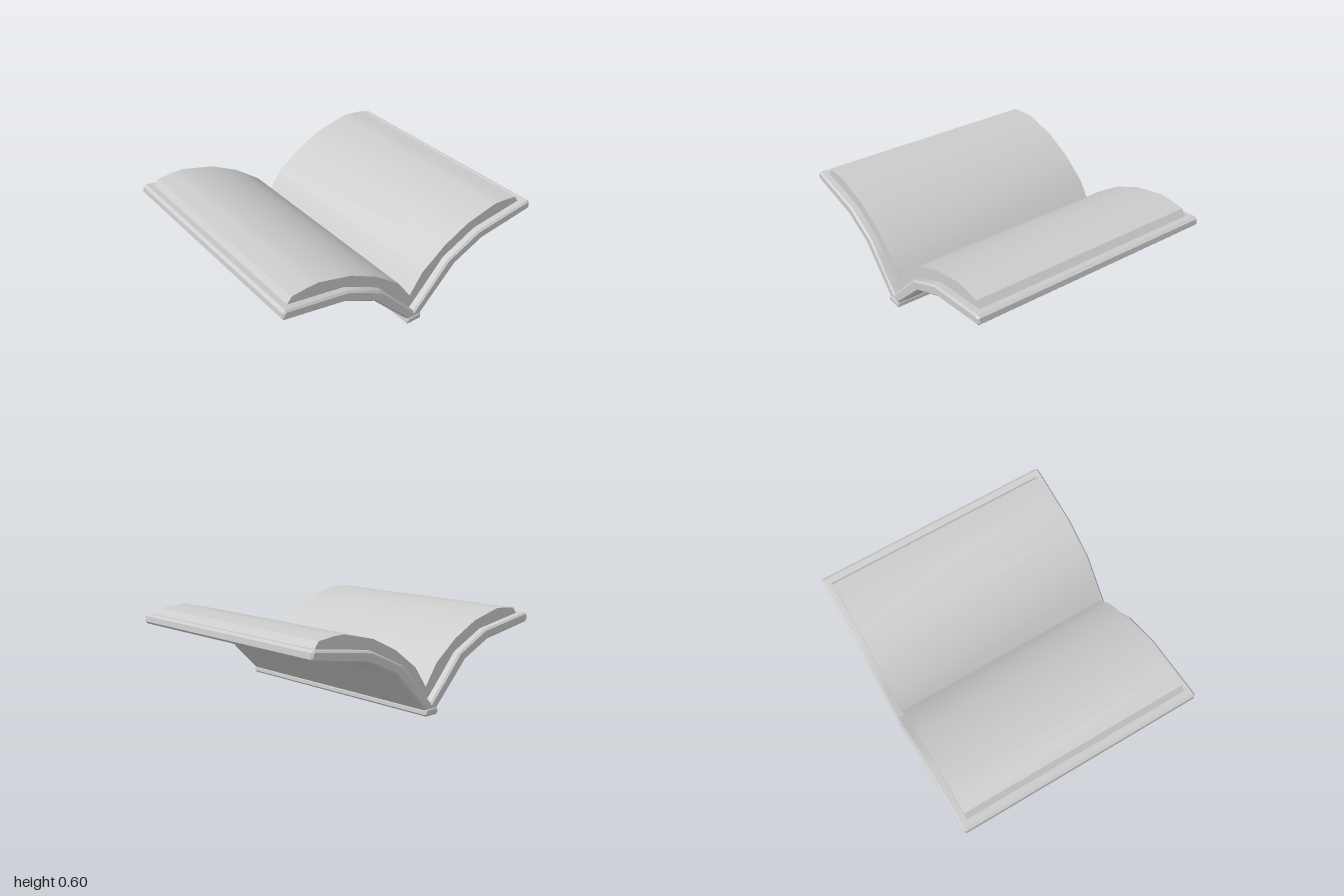
import * as THREE from 'three';
import { toCreasedNormals } from 'three/addons/utils/BufferGeometryUtils.js';

const material = new THREE.MeshStandardMaterial({ color: 0xcccccc });

// Extrude a front outline along z, centred, with an optional chamfer that stays inside the outline
function extrudePart(name, points, halfDepth, chamfer = 0) {
  const shape = new THREE.Shape(points.map(([x, y]) => new THREE.Vector2(x, y)));
  const depth = 2 * (halfDepth - chamfer);
  const geometry = new THREE.ExtrudeGeometry(shape, {
    depth,
    bevelEnabled: chamfer > 0,
    bevelThickness: chamfer,
    bevelSize: chamfer,
    bevelOffset: -chamfer,
    bevelSegments: 1,
  });
  geometry.translate(0, 0, -depth / 2);
  const mesh = new THREE.Mesh(toCreasedNormals(geometry, 0.5), material);
  mesh.name = name;
  return mesh;
}

const mirrored = (points) => points.map(([x, y]) => [-x, y]);

export function createModel() {
  const group = new THREE.Group();
  group.name = 'openBook';

  // Cover: one bent board per side, joined in the middle; +x half from underside to gutter
  const coverHalf = [
    [0.05, 0.035], [0.19, 0.175], [0.33, 0.315], [0.56, 0.42],
    [0.985, 0.487], [1, 0.503], [0.995, 0.54], [0.975, 0.553],
    [0.53, 0.487], [0.27, 0.365], [0.13, 0.215],
  ];
  const cover = [...coverHalf, [0, 0.08], ...mirrored(coverHalf).reverse()];
  group.add(extrudePart('cover', cover, 0.87, 0.012));

  // Spine: narrow chamfered strip under the fold
  const spineHalf = [[0.048, 0], [0.06, 0.012], [0.058, 0.036], [0.045, 0.05]];
  const spine = [...spineHalf, ...mirrored(spineHalf).reverse()];
  group.add(extrudePart('spine', spine, 0.875, 0.01));

  // Page blocks: bulging top, sloped fore edge, underside sunk slightly into the cover
  const pages = [
    [0, 0.07], [0.13, 0.205], [0.27, 0.355], [0.53, 0.477], [0.94, 0.538],
    [0.90, 0.588], [0.79, 0.6], [0.71, 0.602], [0.475, 0.545],
    [0.28, 0.45], [0.1, 0.317], [0, 0.176],
  ];
  group.add(extrudePart('leftPages', pages, 0.817));
  group.add(extrudePart('rightPages', mirrored(pages), 0.817));

  return group;
}
